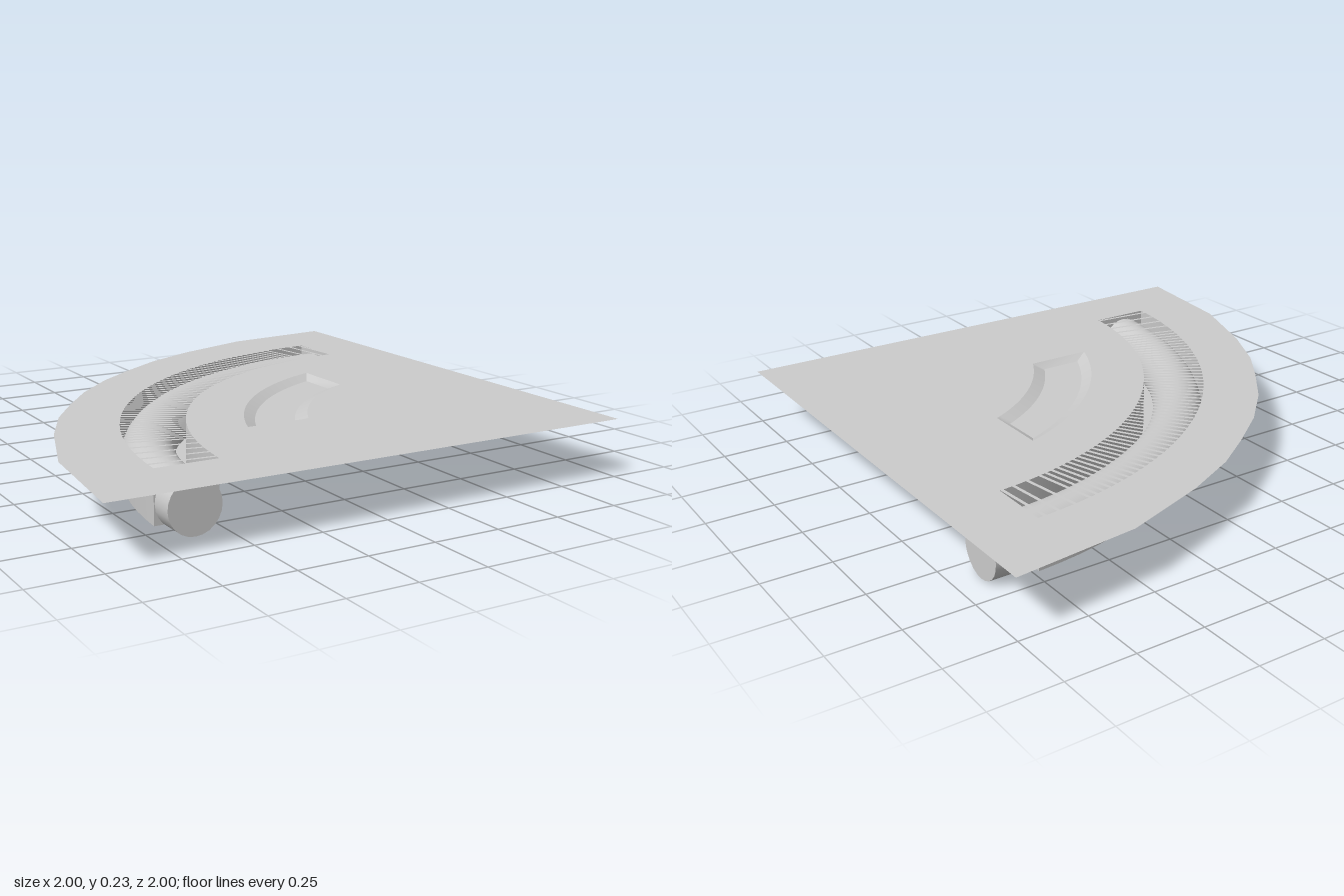
import * as THREE from 'three';
import { toCreasedNormals } from 'three/addons/utils/BufferGeometryUtils.js';

const C = 0.85;          // channel, tray and markers are centred on x = z = 0.85
const TOP = 0.215;       // level of the floor plate
const PANEL = 0.226;     // level of the thin panels above it
const SEG = 14;
const rad = THREE.MathUtils.degToRad;

export function createModel() {
  const model = new THREE.Group();
  const solid = new THREE.MeshStandardMaterial({ color: 0xcccccc });
  const sheetMat = new THREE.MeshStandardMaterial({ color: 0xcccccc, side: THREE.DoubleSide });

  const add = (name, geo, mat = sheetMat, parent = model) => {
    const mesh = new THREE.Mesh(geo, mat);
    mesh.name = name;
    parent.add(mesh);
    return mesh;
  };

  // Shapes are drawn in (x, -z) and laid flat at height y
  const sheet = (name, shape, y) =>
    add(name, new THREE.ShapeGeometry(shape, SEG).rotateX(-Math.PI / 2).translate(0, y, 0));

  // Quarter ring with ends parallel to the axes, set back by d, corners rounded by c
  const sector = (rOut, rIn, d, c = 0) => {
    const s = new THREE.Shape();
    const at = (r, a) => [C + r * Math.cos(a), -C + r * Math.sin(a)];
    const a = Math.asin(d / rOut), b = Math.asin(d / rIn), H = Math.PI / 2;
    const ca = c / rOut, cb = c / rIn;
    const [x1, y1] = at(rOut, H + a), [x2, y2] = at(rOut, Math.PI - a);
    const [x3, y3] = at(rIn, Math.PI - b), [x4, y4] = at(rIn, H + b);
    s.absarc(C, -C, rOut, H + a + ca, Math.PI - a - ca, false);
    if (c) s.quadraticCurveTo(x2, y2, x2 + c, y2);
    if (c) s.lineTo(x3 - c, y3).quadraticCurveTo(x3, y3, ...at(rIn, Math.PI - b - cb));
    s.absarc(C, -C, rIn, Math.PI - b - cb, H + b + cb, true);
    if (c) s.quadraticCurveTo(x4, y4, x4, y4 + c);
    if (c) s.lineTo(x1, y1 - c).quadraticCurveTo(x1, y1, ...at(rOut, H + a + ca));
    return s;
  };

  // Wall between two matching outlines, lower one first
  const wall = (name, shapeA, yA, shapeB, yB) => {
    const ring = (s) => {
      const p = s.getPoints(SEG);
      if (p[0].distanceTo(p[p.length - 1]) < 1e-5) p.pop();
      return p;
    };
    const A = ring(shapeA), B = ring(shapeB), n = A.length, pos = [], idx = [];
    for (let i = 0; i < n; i++) {
      const j = (i + 1) % n;
      pos.push(A[i].x, yA, -A[i].y, B[i].x, yB, -B[i].y);
      idx.push(2 * i, 2 * j, 2 * i + 1, 2 * j, 2 * j + 1, 2 * i + 1);
    }
    const g = new THREE.BufferGeometry();
    g.setAttribute('position', new THREE.Float32BufferAttribute(pos, 3));
    g.setIndex(idx);
    add(name, toCreasedNormals(g, rad(35)));
  };

  // Floor plate: faceted quarter disc, open over the channel and the basin
  const half = [[-1, 1], [-0.95, 0.54], [-0.835, 0.215], [-0.73, 0], [-0.62, -0.16], [-0.49, -0.33]];
  const edge = [...half, ...half.map(([x, z]) => [z, x]).reverse(), [1, 1]];
  const plate = new THREE.Shape(edge.map(([x, z]) => new THREE.Vector2(x, -z)));
  const channel = sector(1.573, 1.339, 0.1);
  const basinEdge = sector(1.13, 0.9, 0.4);
  plate.holes.push(channel, basinEdge);
  sheet('floorPlate', plate, TOP);

  // Curved channel below the plate
  wall('channelWall', channel, 0.025, channel, TOP);
  sheet('channelFloor', channel, 0.025);

  // Pipe in the channel with straight stubs at both ends
  const R = 1.473, r = 0.097, py = 0.098, END = 0.75, mid = -0.62;
  const skew = Math.asin((C - END) / R);
  const bend = new THREE.TorusGeometry(R, r, 24, 48, Math.PI / 2 - 2 * skew);
  bend.rotateZ(Math.PI / 2 + skew).rotateX(-Math.PI / 2).translate(C, py, C);
  add('pipeBend', bend, solid);
  const stub = (len) => new THREE.CylinderGeometry(r, r, len, 24);
  add('pipeStubBack', stub(0.155).rotateZ(Math.PI / 2).translate(END + 0.0775, py, mid), solid);
  add('pipeStubFront', stub(0.09).rotateX(Math.PI / 2).translate(mid, py, END + 0.045), solid);

  // Grille of narrow slats across the channel, sparser at the ends
  const grille = new THREE.Group();
  grille.name = 'channelGrille';
  model.add(grille);
  const angles = [5, 7.5, 10, 12.5];
  for (let i = 0; i < 54; i++) angles.push(15 + i * 1.2);
  angles.push(81, 83.5, 85.5);
  for (const deg of angles) {
    const slat = new THREE.PlaneGeometry(0.25, 0.013).rotateX(-Math.PI / 2).translate(-1.456, 0, 0);
    const m = add('slat', slat.rotateY(-rad(deg)), sheetMat, grille);
    m.position.set(C, TOP + 0.003, C);
  }

  // Tray: skirt under the plate, raised rim line and a shallow basin
  const tray = sector(1.215, 0.845, 0.21, 0.05);
  wall('traySkirt', tray, 0.14, tray, TOP);
  const rim = tray.clone();
  rim.holes.push(sector(1.2, 0.86, 0.225, 0.045));
  sheet('trayRim', rim, PANEL);
  const basin = sector(1.09, 0.945, 0.435);
  wall('basinSide', basin, TOP - 0.02, basinEdge, TOP);
  sheet('basinFloor', basin, TOP - 0.02);

  // Thin panels just above the plate, with an optional inner panel or end tabs
  const flat = (w, d) => new THREE.PlaneGeometry(w, d).rotateX(-Math.PI / 2);
  const panel = (name, x, z, w, d, angle, y, inset = 0, tabs = 0) => {
    const g = new THREE.Group();
    g.name = name;
    g.position.set(x, y, z);
    g.rotation.y = angle;
    model.add(g);
    add('panelBase', flat(w, d), sheetMat, g);
    if (inset) add('panelCentre', flat(w - inset, d - inset).translate(0, 0.006, 0), sheetMat, g);
    if (tabs) for (const s of [-1, 1])
      add('panelTab', flat(tabs, d * 0.8).translate(s * (w - tabs) / 2, 0.006, 0), sheetMat, g);
  };
  const tangent = (x, z) => Math.atan2(C - x, C - z);
  const Q = Math.PI / 2;
  for (const [x, z] of [[0.41, -0.73], [-0.145, -0.43], [-0.54, 0], [-0.83, 0.685]])
    panel('outerMarker', x, z, 0.135, 0.045, tangent(x, z), PANEL - 0.004);
  for (const [x, z] of [[0.665, -0.41], [0.22, -0.25], [-0.145, 0.07], [-0.4, 0.59]])
    panel('channelPanel', x, z, 0.245, 0.05, tangent(x, z), PANEL, 0, 0.05);
  for (const [x, z] of [[0.5, 0.145], [0.135, 0.515]])
    panel('traySidePanel', x, z, 0.15, 0.055, tangent(x, z), 0.23, 0.02);
  for (const e of [0.825, 0.93]) {
    panel('endPanelBack', e, -0.615, 0.25, 0.048, Q, PANEL, 0, 0.05);
    panel('endPanelFront', -0.615, e, 0.25, 0.048, 0, PANEL, 0, 0.05);
  }
  panel('trayPanelBack', 0.59, -0.15, 0.25, 0.03, Q, PANEL, 0, 0.04);
  panel('trayPanelFront', -0.135, 0.585, 0.25, 0.03, 0, PANEL, 0, 0.04);
  panel('cornerPanelRight', 0.885, 0.51, 0.31, 0.11, Q, PANEL, 0.045);
  panel('cornerPanelFront', 0.525, 0.86, 0.31, 0.11, 0, PANEL, 0.045);

  // Round covers near the corner
  const cover = (name, x, z, outer, inner, y) => {
    const disc = (q, h) => new THREE.CircleGeometry(q, 40).rotateX(-Math.PI / 2).translate(x, h, z);
    add(name + 'Rim', disc(outer, y));
    add(name, disc(inner, y + 0.006));
  };
  cover('largeRoundCover', 0.515, 0.5, 0.19, 0.172, 0.229);
  cover('smallRoundCover', 0.85, 0.845, 0.088, 0.08, PANEL);

  return model;
}
